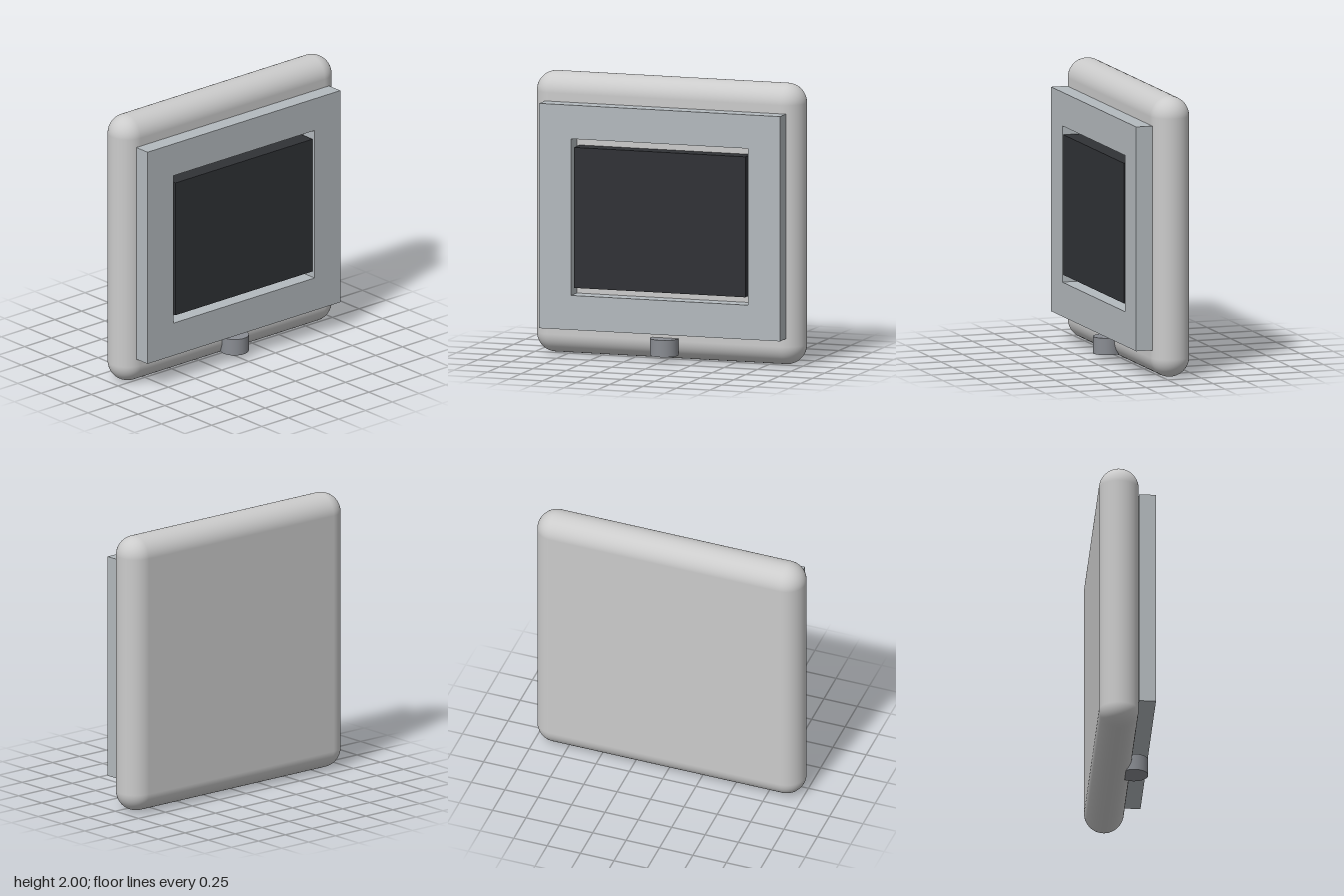
import * as THREE from 'three';
import { RoundedBoxGeometry } from 'three/addons/geometries/RoundedBoxGeometry.js';

const BODY_Z = -0.06, FRONT_Z = 0.08, DEPTH = 0.12;

function rectangle(PathType, x, y0, y1) {
  return new PathType().moveTo(-x, y0).lineTo(x, y0).lineTo(x, y1).lineTo(-x, y1).closePath();
}

export function createModel() {
  const group = new THREE.Group();
  const add = (name, geometry, color, x, y, z) => {
    const mesh = new THREE.Mesh(geometry, new THREE.MeshStandardMaterial({ color }));
    mesh.name = name;
    mesh.position.set(x, y, z);
    group.add(mesh);
    return mesh;
  };

  // Softly rounded slab
  add('body', new RoundedBoxGeometry(2, 2, 0.28, 10, 0.14), 0xcccccc, 0, 1, BODY_Z);

  // Raised square frame with a rectangular window
  const frame = rectangle(THREE.Shape, 0.9, 0.2, 1.8);
  frame.holes.push(rectangle(THREE.Path, 0.66, 0.445, 1.56));
  add('frame', new THREE.ExtrudeGeometry(frame, { depth: DEPTH, bevelEnabled: false }),
    0xb4babe, 0, 0, FRONT_Z);

  // Dark screen, flush with the frame and slightly smaller than its window
  add('screen', new THREE.BoxGeometry(1.28, 1, DEPTH), 0x303236, 0, 1, FRONT_Z + DEPTH / 2);

  // Upright round button partly sunk into the body
  add('button', new THREE.CylinderGeometry(0.1, 0.1, 0.12, 32), 0x8a8d93, 0, 0.1, 0.1);

  return group;
}
